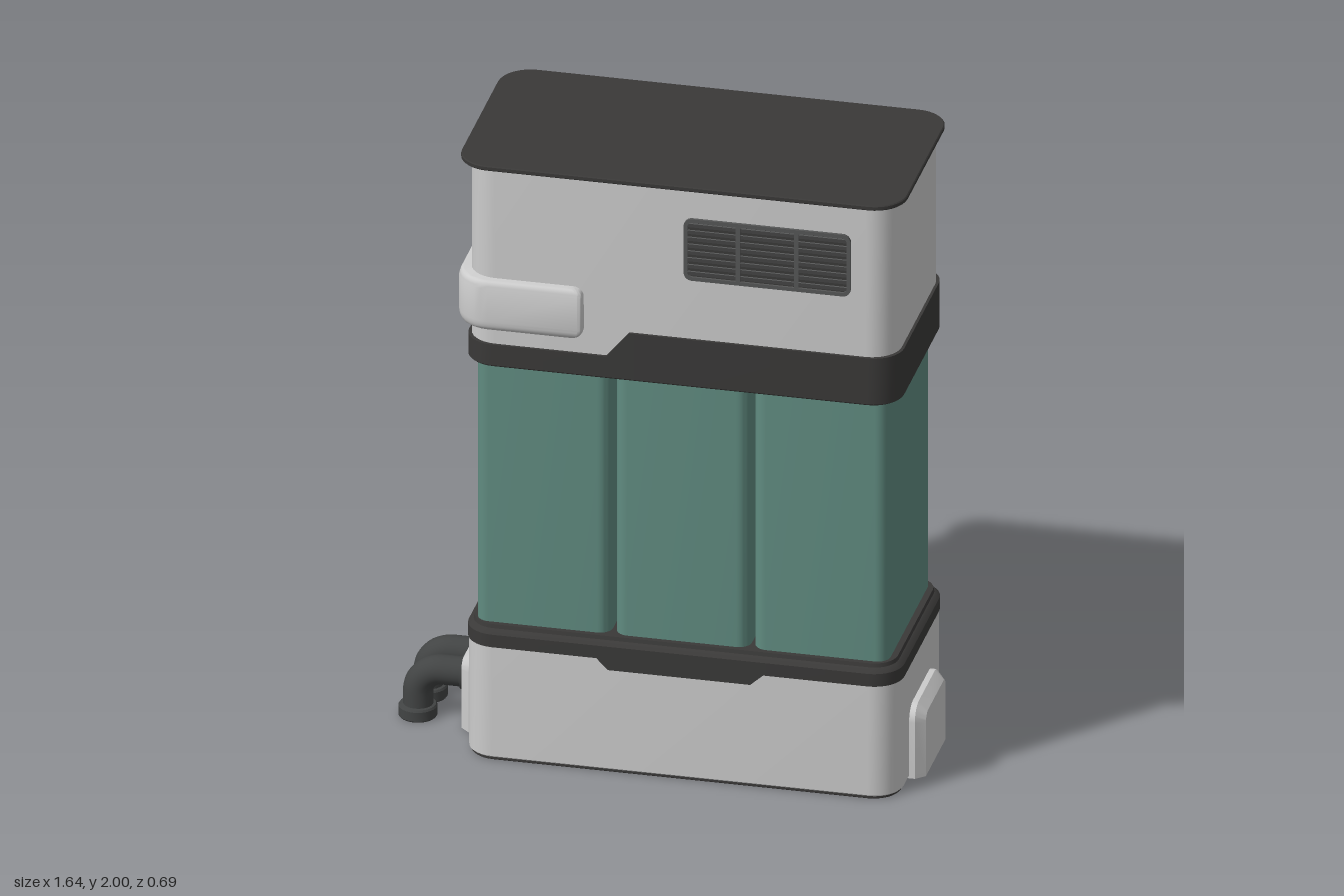
import * as THREE from 'three';
import { toCreasedNormals } from 'three/addons/utils/BufferGeometryUtils.js';

const mat = (color) => new THREE.MeshStandardMaterial({ color });
const GREY = mat(0xcccccc), DARK = mat(0x3a3938), RUBBER = mat(0x424444);
const GREEN = mat(0x608b80), VENT = mat(0x555656);

// Rounded rectangle in plan as [x, z] points; xs adds points along the long sides
function outline(x0, x1, hz, rl, rr = rl, xs = []) {
  const pts = [];
  const arc = (cx, cz, r, from) => {
    for (let i = 0; i <= 8; i++) {
      const a = from + (i / 8) * Math.PI / 2;
      pts.push([cx + r * Math.sin(a), cz + r * Math.cos(a)]);
    }
  };
  arc(x0 + rl, hz - rl, rl, -Math.PI / 2);
  xs.forEach((x) => pts.push([x, hz]));
  arc(x1 - rr, hz - rr, rr, 0);
  arc(x1 - rr, -hz + rr, rr, Math.PI / 2);
  [...xs].reverse().forEach((x) => pts.push([x, -hz]));
  arc(x0 + rl, -hz + rl, rl, Math.PI);
  return pts;
}

// Plan outline lifted to height y (a number or a rule of x and z)
const ring = (pts, y) => pts.map(([x, z]) =>
  new THREE.Vector3(x, typeof y === 'function' ? y(x, z) : y, z));

// Closed skin through equal-length rings, capped at both ends
function loft(rings) {
  const pos = [];
  const tri = (...v) => v.forEach((p) => pos.push(p.x, p.y, p.z));
  const n = rings[0].length;
  const mid = (r) => r.reduce((s, p) => s.add(p), new THREE.Vector3()).divideScalar(n);
  const first = rings[0], last = rings[rings.length - 1];
  const c0 = mid(first), c1 = mid(last);
  for (let i = 0; i < n; i++) {
    const j = (i + 1) % n;
    for (let k = 0; k < rings.length - 1; k++) {
      const a = rings[k], b = rings[k + 1];
      tri(a[i], a[j], b[j]);
      tri(a[i], b[j], b[i]);
    }
    tri(c0, first[j], first[i]);
    tri(c1, last[i], last[j]);
  }
  const g = new THREE.BufferGeometry();
  g.setAttribute('position', new THREE.Float32BufferAttribute(pos, 3));
  return toCreasedNormals(g, 0.5);
}

// Upright rounded block with small bevels at top and bottom
function block(x0, x1, y0, y1, hz, r, b = 0.005) {
  const full = outline(x0, x1, hz, r);
  const inset = outline(x0 + b, x1 - b, hz - b, r - b);
  return loft([ring(inset, y0), ring(full, y0 + b), ring(full, y1 - b), ring(inset, y1)]);
}

// Flat panel with rounded corners facing the front
function panel(w, h, r, depth, hole) {
  const rect = (target, W, H, R) => {
    const x = W / 2, y = H / 2;
    target.absarc(x - R, y - R, R, 0, Math.PI / 2);
    target.absarc(-x + R, y - R, R, Math.PI / 2, Math.PI);
    target.absarc(-x + R, -y + R, R, Math.PI, Math.PI * 1.5);
    target.absarc(x - R, -y + R, R, Math.PI * 1.5, Math.PI * 2);
    target.closePath();
    return target;
  };
  const s = rect(new THREE.Shape(), w, h, r);
  if (hole) s.holes.push(rect(new THREE.Path(), w - 2 * hole, h - 2 * hole, r * 0.6));
  return new THREE.ExtrudeGeometry(s, { depth, bevelEnabled: false, curveSegments: 6 });
}

export function createModel() {
  const model = new THREE.Group();
  const add = (name, geo, material, parent = model) => {
    const m = new THREE.Mesh(geo, material);
    m.name = name;
    parent.add(m);
    return m;
  };

  // Base and its underside
  add('bottomPlate', block(-0.56, 0.765, 0, 0.02, 0.312, 0.085, 0.002), DARK);
  add('base', block(-0.567, 0.772, 0.008, 0.42, 0.316, 0.09), GREY);

  // Dark collar on the base, with a dropped tab at the front
  const tabXs = [-0.155, -0.12, 0.32, 0.36];
  const tab = (x, z) => {
    if (z < 0) return 0.38;
    const t = Math.min((x + 0.155) / 0.035, (0.36 - x) / 0.04);
    return 0.38 - 0.036 * THREE.MathUtils.clamp(t, 0, 1);
  };
  const collar = (b) => outline(-0.57 + b, 0.775 - b, 0.32 - b, 0.092 - b, 0.092 - b, tabXs);
  add('baseCollar', loft([
    ring(collar(0.012), tab), ring(collar(0), tab), ring(collar(0), 0.422),
    ring(collar(0.012), 0.434), ring(collar(0.017), 0.436), ring(collar(0.02), 0.448),
  ]), DARK);

  // Three canisters
  [-0.537, -0.108, 0.32].forEach((x, i) =>
    add('canister' + (i + 1), block(x, x + 0.416, 0.43, 1.34, 0.284, 0.04, 0.003), GREEN));

  // Upper body, stepped belt and lid
  add('upperBody', block(-0.56, 0.765, 1.36, 1.99, 0.311, 0.09), GREY);
  const step = (x) => 1.395 + 0.085 * THREE.MathUtils.clamp((x + 0.125) / 0.07, 0, 1);
  const belt = (b) => outline(-0.569, 0.774, 0.32, 0.092, 0.092, [-0.125, -0.055])
    .map(([x, z]) => [x + (x < -0.4 ? b : x > 0.6 ? -b : 0), z - Math.sign(z) * b]);
  add('upperBelt', loft([
    ring(belt(0.003), 1.322), ring(belt(0), 1.326), ring(belt(0), step), ring(belt(0.015), step),
  ]), DARK);
  add('lid', block(-0.589, 0.787, 1.984, 2, 0.337, 0.1, 0.003), DARK);

  // Padded grip wrapping the right-hand end
  const gripRings = [];
  for (let i = 0; i <= 12; i++) {
    const low = i <= 6, t = (low ? i / 6 : (12 - i) / 6) * Math.PI / 2;
    const e = 1 - Math.sin(t), rise = 0.032 * (1 - Math.cos(t));
    const b = 0.016 * e;
    gripRings.push(ring(outline(-0.596 + b, -0.195 - 0.032 * e, 0.344 - b, 0.11 - b, 0.014),
      low ? 1.45 + rise : 1.615 - rise));
  }
  add('wrapGrip', loft(gripRings), GREY);

  // Louvred vent on the front
  const vent = new THREE.Group();
  vent.name = 'vent';
  vent.position.set(0.372, 1.782, 0.308);
  model.add(vent);
  add('ventBack', panel(0.5, 0.19, 0.02, 0.005), DARK, vent);
  add('ventFrame', panel(0.515, 0.206, 0.025, 0.012, 0.012), VENT, vent);
  [-0.09, 0.09].forEach((x) => {
    add('ventDivider', new THREE.BoxGeometry(0.014, 0.19, 0.012), VENT, vent).position.set(x, 0, 0.006);
  });
  for (let i = 0; i < 8; i++) {
    const slat = add('ventSlat', new THREE.BoxGeometry(0.495, 0.015, 0.004), VENT, vent);
    slat.position.set(0, -0.08 + i * 0.0229, 0.006);
    slat.rotation.x = 0.35;
  }

  // Chamfered arch plates on both ends of the base
  const arch = (x, hw, h, r) => {
    const pts = [new THREE.Vector3(x, 0.003, -hw)];
    for (const s of [-1, 1]) {
      for (let i = 0; i <= 8; i++) {
        const a = (s < 0 ? i / 8 : 1 - i / 8) * Math.PI / 2;
        pts.push(new THREE.Vector3(x, h - r + r * Math.sin(a), s * (hw - r + r * Math.cos(a))));
      }
    }
    pts.push(new THREE.Vector3(x, 0.003, hw));
    return pts;
  };
  const plate = (x, s, h) => {
    const rings = [arch(x, 0.156, h, 0.05), arch(x + s * 0.03, 0.156, h, 0.05),
      arch(x + s * 0.058, 0.13, h - 0.028, 0.03)];
    return loft(s > 0 ? rings : rings.reverse());
  };
  add('leftEndPlate', plate(0.76, 1, 0.24), GREY);
  add('rightEndPlate', plate(-0.558, -1, 0.255), GREY);

  // Two elbow pipes with flanged, hollow mouths
  const path = [new THREE.Vector3(-0.59, 0.16, 0), new THREE.Vector3(-0.64, 0.16, 0)];
  for (let i = 0; i <= 8; i++) {
    const a = Math.PI / 2 * (1 + i / 8);
    path.push(new THREE.Vector3(-0.688 + 0.076 * Math.cos(a), 0.084 + 0.076 * Math.sin(a), 0));
  }
  path.push(new THREE.Vector3(-0.764, 0.03, 0));
  const pipeGeo = new THREE.TubeGeometry(new THREE.CatmullRomCurve3(path), 40, 0.046, 24);
  const mouth = [[0, 0.02], [0.036, 0.02], [0.036, 0], [0.056, 0], [0.059, 0.004],
    [0.059, 0.034], [0.055, 0.04], [0.044, 0.042]].map(([x, y]) => new THREE.Vector2(x, y));
  const mouthGeo = toCreasedNormals(new THREE.LatheGeometry(mouth, 28), 0.5);
  [-0.069, 0.067].forEach((z) => {
    const pipe = new THREE.Group();
    pipe.name = 'elbowPipe';
    pipe.position.z = z;
    model.add(pipe);
    add('pipe', pipeGeo, RUBBER, pipe);
    add('pipeMouth', mouthGeo, RUBBER, pipe).position.x = -0.765;
    const seal = add('pipeSeal', new THREE.CylinderGeometry(0.053, 0.053, 0.02, 28), RUBBER, pipe);
    seal.rotation.z = Math.PI / 2;
    seal.position.set(-0.617, 0.16, 0);
  });

  return model;
}
